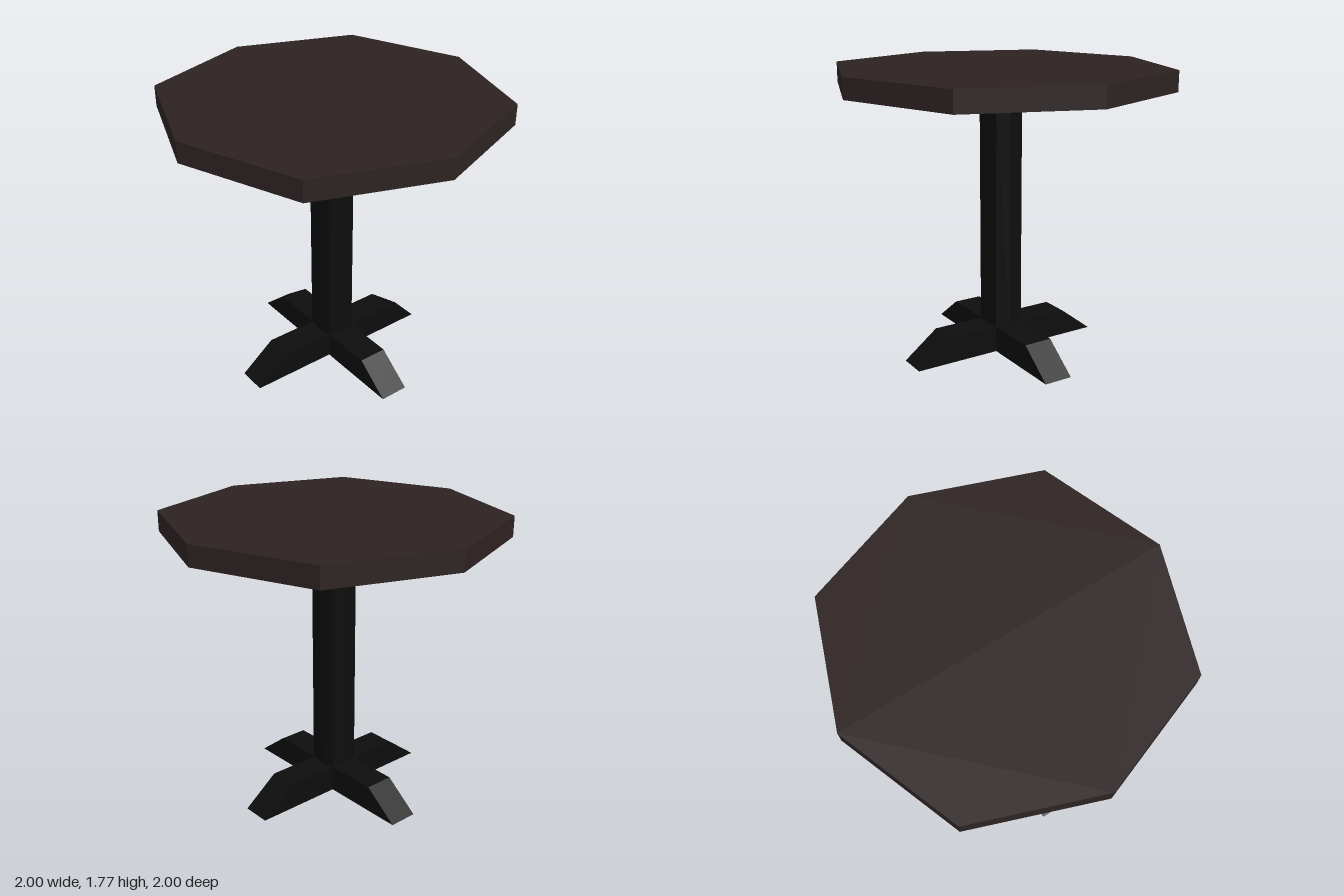
import * as THREE from 'three';

const wood = new THREE.MeshStandardMaterial({ color: 0x2d2222, flatShading: true });
wood.name = 'dark wood';
const iron = new THREE.MeshStandardMaterial({ color: 0x0d0d0d, flatShading: true });
iron.name = 'black iron';

// Extrudes an outline by the given depth, without bevels
function extrude(points, depth) {
  const shape = new THREE.Shape(points.map(([x, y]) => new THREE.Vector2(x, y)));
  return new THREE.ExtrudeGeometry(shape, { depth, bevelEnabled: false });
}

// Upright eight-sided prism: corners on the axes at `axis`, on the diagonals at (diag, diag)
function octagonPrism(axis, diag, bottom, top) {
  const points = [];
  for (let i = 0; i < 8; i++) {
    const a = (i * Math.PI) / 4;
    const r = i % 2 ? diag * Math.SQRT2 : axis;
    points.push([r * Math.cos(a), r * Math.sin(a)]);
  }
  return extrude(points, top - bottom).rotateX(-Math.PI / 2).translate(0, bottom, 0);
}

export function createModel() {
  const table = new THREE.Group();
  table.name = 'pedestalTable';

  function add(name, geometry, material) {
    const mesh = new THREE.Mesh(geometry, material);
    mesh.name = name;
    table.add(mesh);
    return mesh;
  }

  add('tableTop', octagonPrism(1, 0.733, 1.65, 1.775), wood);
  add('post', octagonPrism(0.103, 0.092, 0.15, 1.65), iron);

  // Cross-shaped base: four sloped feet meeting in the middle
  const hub = new THREE.BoxGeometry(0.18, 0.165, 0.18).translate(0, 0.0825, 0);
  add('baseHub', hub, iron);
  const footProfile = [[0.09, 0], [0.635, 0], [0.42, 0.165], [0.09, 0.165]];
  const foot = extrude(footProfile, 0.18).translate(0, 0, -0.09);
  ['leftFoot', 'backFoot', 'rightFoot', 'frontFoot'].forEach((name, i) => {
    add(name, foot, iron).rotation.y = (i * Math.PI) / 2;
  });

  return table;
}
